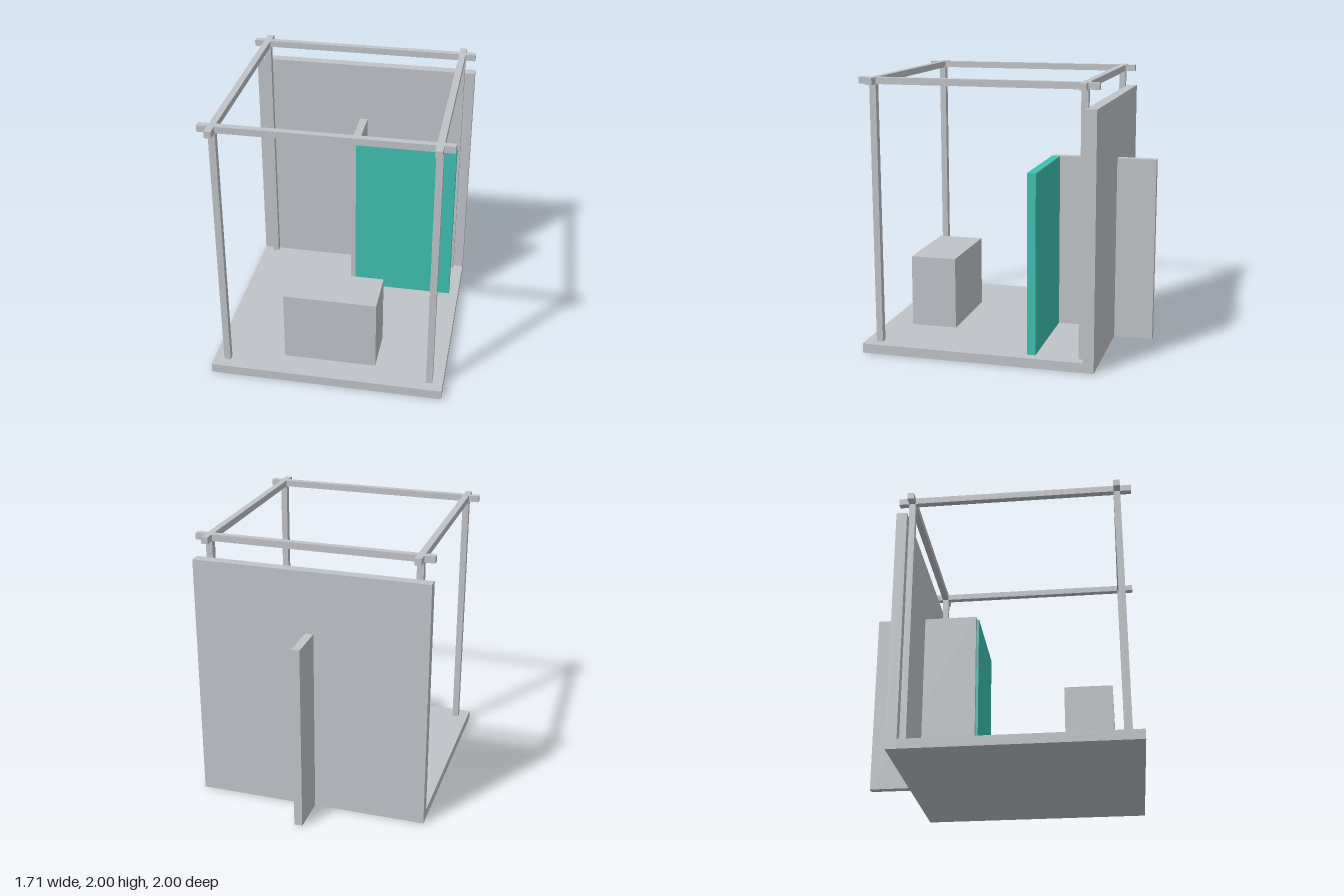
import * as THREE from 'three';

const grey = new THREE.MeshStandardMaterial({ color: 0xc0c3c8 });
grey.name = 'light grey';
const teal = new THREE.MeshStandardMaterial({ color: 0x40c0b2 });
teal.name = 'teal';

// Box given by its extents along each axis
function block(name, [x0, x1], [y0, y1], [z0, z1], material = grey) {
  const mesh = new THREE.Mesh(new THREE.BoxGeometry(x1 - x0, y1 - y0, z1 - z0), material);
  mesh.position.set((x0 + x1) / 2, (y0 + y1) / 2, (z0 + z1) / 2);
  mesh.name = name;
  return mesh;
}

export function createModel() {
  const model = new THREE.Group();
  model.name = 'booth';
  const width = [-0.853, 0.853];
  const depth = [-0.71, 1];
  const floorTop = 0.07;

  // Floor and back wall
  model.add(block('floor', width, [0, floorTop], [-0.632, 1]));
  model.add(block('backWall', width, [0, 1.83], [-0.71, -0.632]));

  // Fin passing through the back wall, and the coloured panel at its front end
  model.add(block('fin', [-0.031, 0.029], [0, 1.375], [-1, -0.232]));
  model.add(block('colouredPanel', [0.01, 0.78], [0.01, 1.373], [-0.278, -0.215], teal));

  // Counter
  model.add(block('counter', [-0.341, 0.341], [floorTop, 0.608], [0.455, 0.8]));

  // Open frame: four posts under crossing top beams
  const frame = new THREE.Group();
  frame.name = 'frame';
  const xs = [[-0.778, -0.73], [0.73, 0.778]];
  const zs = [[-0.635, -0.587], [0.872, 0.92]];
  const beamY = [1.952, 2];
  for (const x of xs) {
    frame.add(block('sideBeam', x, beamY, depth));
    for (const z of zs) frame.add(block('post', x, [floorTop, beamY[0]], z));
  }
  for (const z of zs) frame.add(block('crossBeam', width, beamY, z));
  model.add(frame);

  return model;
}
